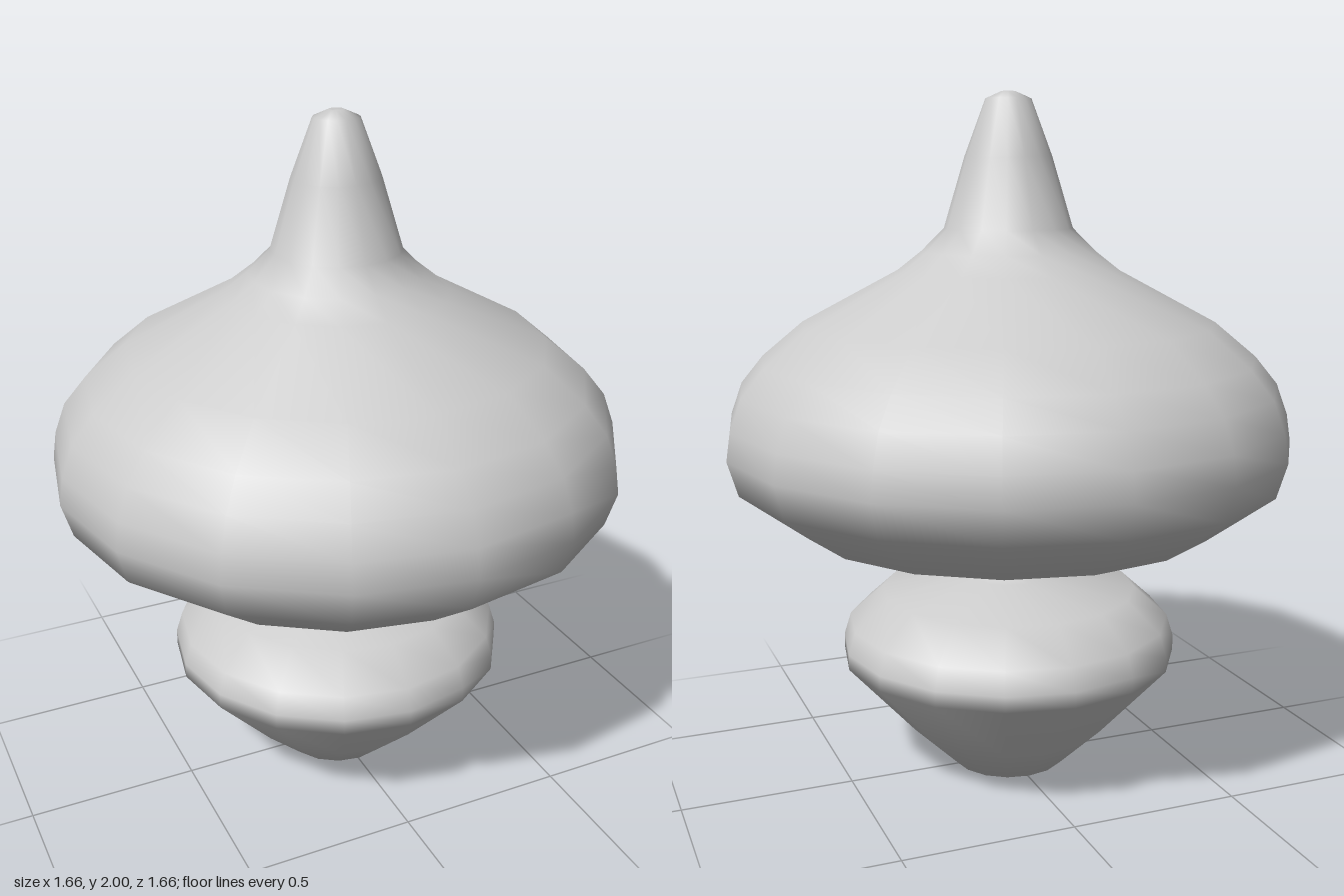
import * as THREE from 'three';

const SIDES = 16;

// Turned part from [radius, height] pairs, bottom to top
function turned(name, profile, material) {
  const points = profile.map(([r, y]) => new THREE.Vector2(r, y));
  const mesh = new THREE.Mesh(new THREE.LatheGeometry(points, SIDES), material);
  mesh.name = name;
  return mesh;
}

export function createModel() {
  const group = new THREE.Group();
  group.name = 'spinningTop';
  const material = new THREE.MeshStandardMaterial({ color: 0xcccccc, side: THREE.DoubleSide });

  // Tapered foot with a rounded shoulder and narrow neck
  group.add(turned('foot', [
    [0, 0], [0.17, 0.005], [0.3, 0.13], [0.5, 0.35], [0.5, 0.395], [0.48, 0.46],
    [0.38, 0.55], [0.155, 0.6], [0.12, 0.625], [0.11, 0.635],
  ], material));

  // Wide rounded body flowing up into the handle
  group.add(turned('bodyAndHandle', [
    [0.11, 0.635], [0.12, 0.65], [0.15, 0.67], [0.34, 0.698], [0.61, 0.76],
    [0.8, 0.9], [0.83, 1.0], [0.818, 1.08], [0.785, 1.17], [0.72, 1.25],
    [0.6, 1.35], [0.32, 1.5], [0.25, 1.555], [0.185, 1.62], [0.125, 1.82],
    [0.065, 1.98], [0.02, 2.0], [0, 1.99],
  ], material));

  return group;
}
